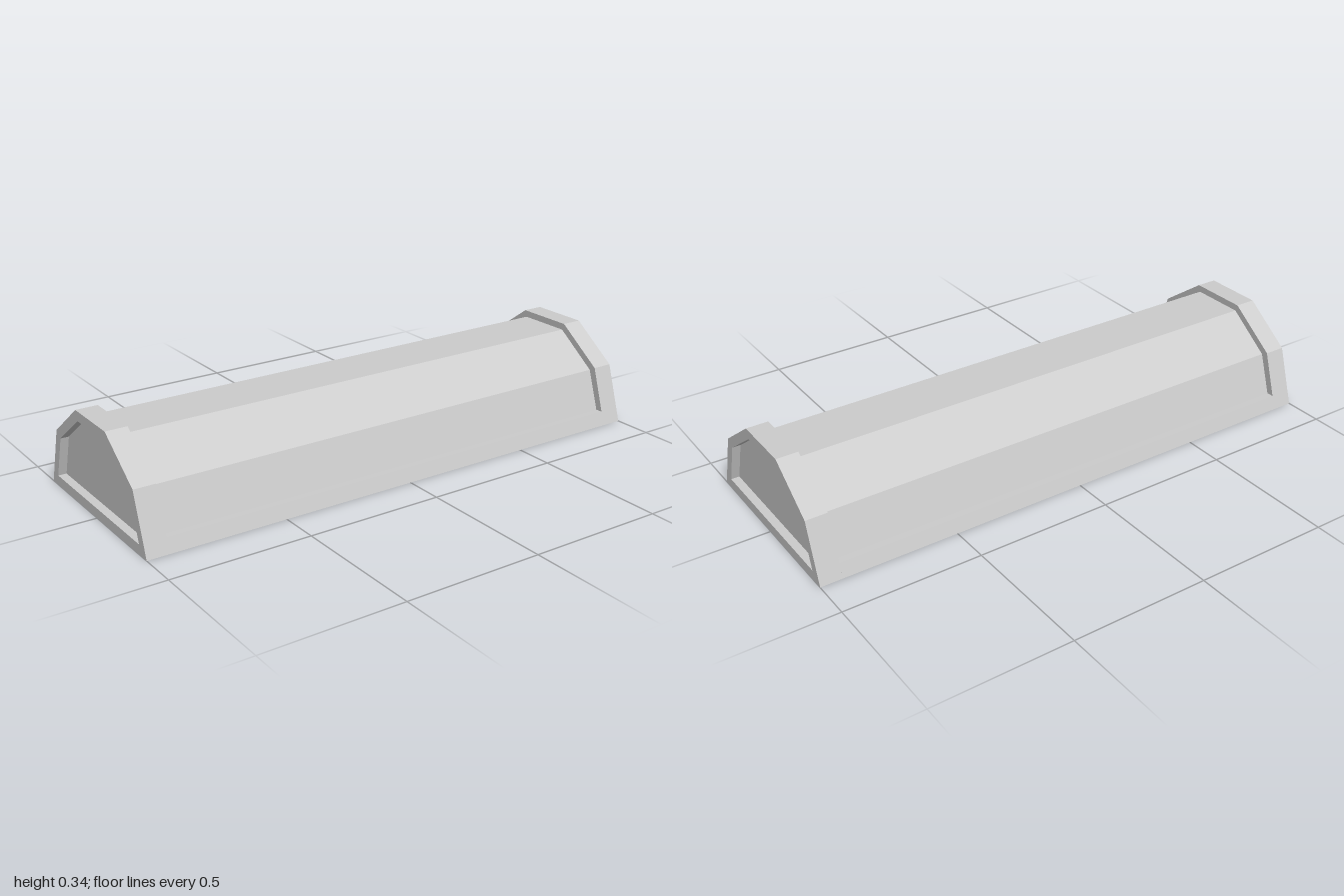
import * as THREE from 'three';

const material = new THREE.MeshStandardMaterial({ color: 0xcccccc, flatShading: true });

// Symmetric outline in (z, y) from its right half, listed bottom to top
function outline(half, Type = THREE.Shape) {
  const right = half.map(([z, y]) => new THREE.Vector2(z, y));
  const left = half.map(([z, y]) => new THREE.Vector2(-z, y)).reverse();
  return new Type([...right, ...left]);
}

// Extrude an outline along x, from x0 to x1
function prism(name, shape, x0, x1) {
  const geometry = new THREE.ExtrudeGeometry(shape, { depth: x1 - x0, bevelEnabled: false });
  geometry.rotateY(Math.PI / 2).translate(x0, 0, 0);
  const mesh = new THREE.Mesh(geometry, material);
  mesh.name = name;
  return mesh;
}

export function createModel() {
  const model = new THREE.Group();
  model.name = 'facetedBarrier';

  const outer = [[0.357, 0], [0.289, 0.211], [0.111, 0.34]];
  const recess = [[0.31, 0.036], [0.26, 0.19], [0.1, 0.305]];
  const body = [[0.313, 0.05], [0.264, 0.197], [0.102, 0.315]];
  const base = [[0.357, 0], [0.341, 0.05]];
  const capInner = 0.922, recessFloor = 0.97;

  // Long middle section: sloped base strip and inset faceted body
  model.add(prism('base', outline(base), -capInner, capInner));
  model.add(prism('body', outline(body), -capInner, capInner));

  // End caps: solid inner plate with a raised rim around a shallow recess
  const rim = outline(outer);
  rim.holes.push(outline(recess, THREE.Path));
  for (const [side, s] of [['left', 1], ['right', -1]]) {
    const cap = new THREE.Group();
    cap.name = side + 'EndCap';
    const span = (a, b) => (s > 0 ? [a, b] : [-b, -a]);
    cap.add(prism('capPlate', outline(outer), ...span(capInner, recessFloor)));
    cap.add(prism('capRim', rim, ...span(recessFloor, 1)));
    model.add(cap);
  }
  return model;
}
